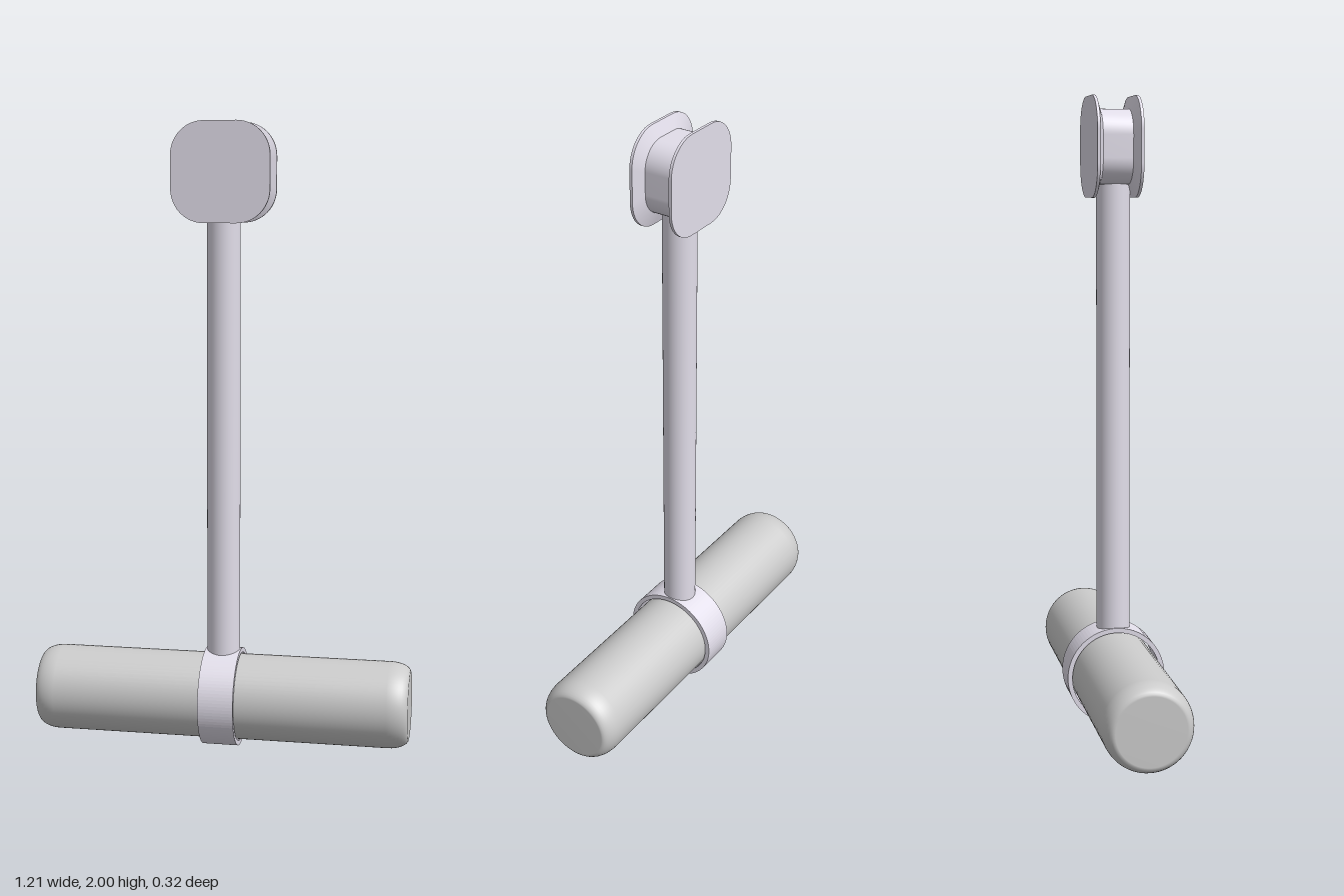
import * as THREE from 'three';
import { mergeGeometries } from 'three/addons/utils/BufferGeometryUtils.js';

const metal = new THREE.MeshStandardMaterial({ color: 0xe2deea });
const grip = new THREE.MeshStandardMaterial({ color: 0xcccccc });

// Counter-clockwise outline of a rounded square
function roundedSquare(half, radius, steps = 12) {
  const points = [];
  for (let corner = 0; corner < 4; corner++) {
    const a0 = corner * Math.PI / 2;
    const mid = a0 + Math.PI / 4;
    const cx = Math.sign(Math.cos(mid)) * (half - radius);
    const cy = Math.sign(Math.sin(mid)) * (half - radius);
    for (let i = 0; i <= steps; i++) {
      const a = a0 + (i / steps) * Math.PI / 2;
      points.push(new THREE.Vector2(cx + radius * Math.cos(a), cy + radius * Math.sin(a)));
    }
  }
  return points;
}

// Skin between two outlines, smooth around and sharp at both rims
function band(a, za, b, zb) {
  const n = a.length, pos = [], index = [];
  for (const p of a) pos.push(p.x, p.y, za);
  for (const p of b) pos.push(p.x, p.y, zb);
  for (let i = 0; i < n; i++) {
    const j = (i + 1) % n;
    index.push(i, j, n + j, i, n + j, n + i);
  }
  const g = new THREE.BufferGeometry();
  g.setAttribute('position', new THREE.Float32BufferAttribute(pos, 3));
  g.setIndex(index);
  g.computeVertexNormals();
  return g;
}

function cap(outline, z, back) {
  const g = new THREE.ShapeGeometry(new THREE.Shape(outline));
  if (back) g.rotateY(Math.PI);
  g.translate(0, 0, z);
  g.deleteAttribute('uv');
  return g;
}

function addMesh(parent, name, geometry, material) {
  const mesh = new THREE.Mesh(geometry, material);
  mesh.name = name;
  parent.add(mesh);
  return mesh;
}

export function createModel() {
  const model = new THREE.Group();
  model.name = 'pullHandle';
  const gripY = 0.16;

  // Grip: a bar with softly rounded ends, turned about x
  const profile = [new THREE.Vector2(0, -0.605)];
  for (let i = 0; i <= 8; i++) {
    const a = (i / 8) * Math.PI / 2;
    profile.push(new THREE.Vector2(0.107 + 0.031 * Math.sin(a), -0.54 - 0.065 * Math.cos(a)));
  }
  const mirrored = profile.map(p => new THREE.Vector2(p.x, -p.y)).reverse();
  const bar = new THREE.LatheGeometry([...profile, ...mirrored], 64);
  bar.rotateZ(Math.PI / 2);
  addMesh(model, 'gripBar', bar, grip).position.set(0, gripY, -0.002);

  // Collar: an open ring around the grip
  const ring = new THREE.Shape().absarc(0, 0, 0.158, 0, Math.PI * 2, false);
  ring.holes.push(new THREE.Path().absarc(0, 0, 0.143, 0, Math.PI * 2, true));
  const collar = new THREE.ExtrudeGeometry(ring, { depth: 0.114, bevelEnabled: false, curveSegments: 48 });
  collar.translate(0, 0, -0.057);
  collar.rotateY(Math.PI / 2);
  addMesh(model, 'collar', collar, metal).position.y = gripY;

  // Rod from the collar up into the spool
  const rod = new THREE.CylinderGeometry(0.053, 0.053, 1.45, 40);
  addMesh(model, 'rod', rod, metal).position.y = 0.305 + 1.45 / 2;

  // Spool head: a rounded-square core with flared flanges front and back
  const wide = roundedSquare(0.156, 0.105);
  const narrow = roundedSquare(0.115, 0.08);
  const sections = [
    [wide, -0.077], [wide, -0.068], [narrow, -0.052],
    [narrow, 0.042], [wide, 0.058], [wide, 0.067],
  ];
  const skins = [cap(wide, -0.077, true), cap(wide, 0.067, false)];
  for (let i = 0; i < sections.length - 1; i++) {
    skins.push(band(...sections[i], ...sections[i + 1]));
  }
  addMesh(model, 'spoolHead', mergeGeometries(skins), metal).position.y = 1.844;

  return model;
}
